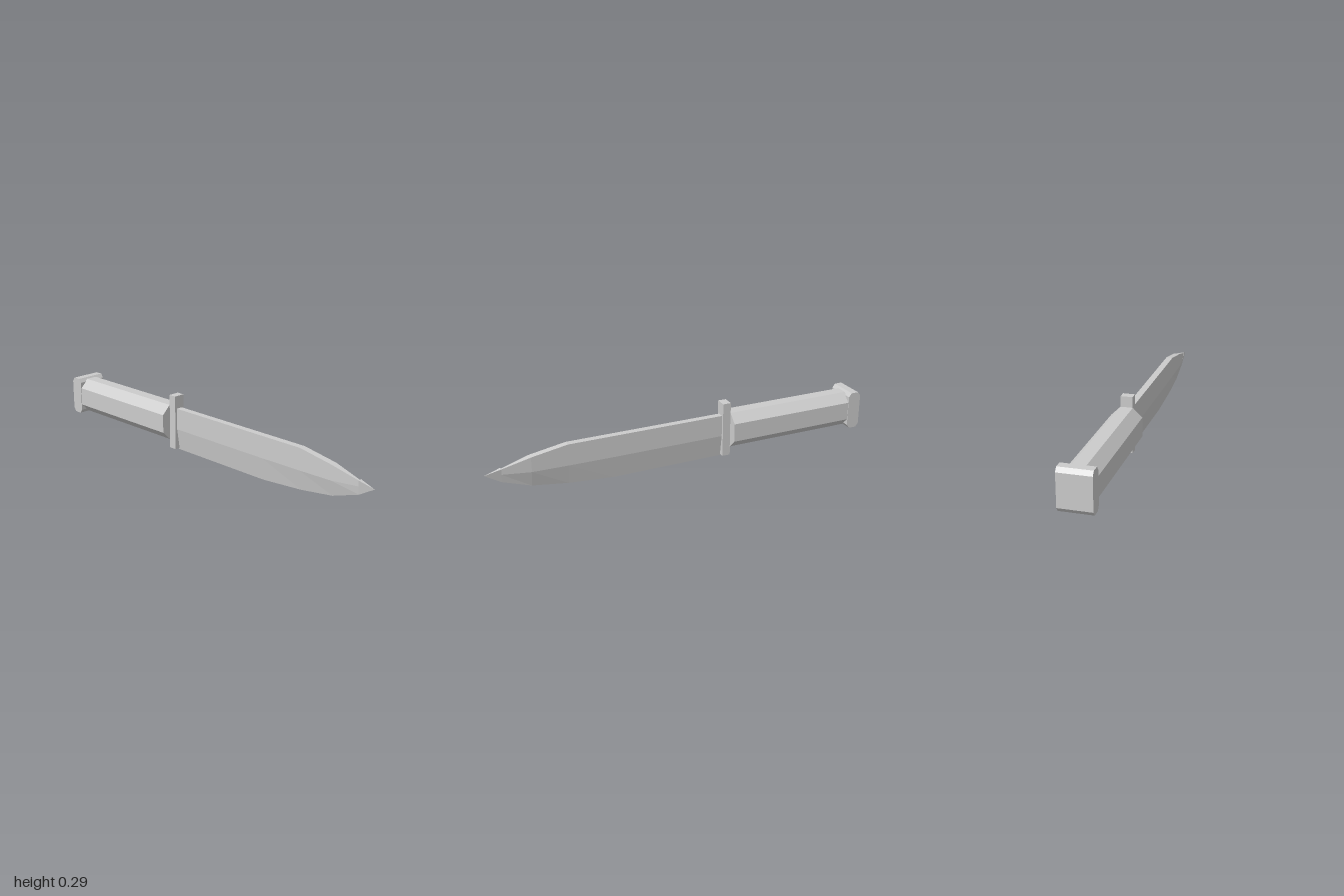
import * as THREE from 'three';

const steel = new THREE.MeshStandardMaterial({ color: 0xcccccc, flatShading: true });
steel.name = 'greySteel';

// Solid lofted through rings of points (counter-clockwise seen from +z, rings ordered towards +z)
function loft(name, rings) {
  const pos = [], n = rings[0].length;
  const tri = (a, b, c) => pos.push(...a, ...b, ...c);
  for (let r = 0; r < rings.length - 1; r++) {
    const a = rings[r], b = rings[r + 1];
    for (let i = 0; i < n; i++) {
      const j = (i + 1) % n;
      tri(a[i], a[j], b[j]);
      tri(a[i], b[j], b[i]);
    }
  }
  const first = rings[0], last = rings[rings.length - 1];
  for (let i = 1; i < n - 1; i++) {
    tri(first[0], first[i + 1], first[i]);
    tri(last[0], last[i], last[i + 1]);
  }
  const g = new THREE.BufferGeometry();
  g.setAttribute('position', new THREE.Float32BufferAttribute(pos, 3));
  g.computeVertexNormals();
  return named(name, g);
}

function named(name, geometry) {
  const mesh = new THREE.Mesh(geometry, steel);
  mesh.name = name;
  return mesh;
}

export function createModel() {
  const model = new THREE.Group();
  model.name = 'knife';

  // Blade: flat spine, straight sides, then a bevel down to the edge
  // Each station: z, spine y, bevel y, edge y, half width
  const stations = [
    [-0.215, 0.226, 0.115, 0.002, 0.017],
    [0.37, 0.226, 0.115, 0.0, 0.017],
    [0.6, 0.226, 0.117, 0.017, 0.017],
    [0.78, 0.195, 0.12, 0.042, 0.017],
    [0.92, 0.157, 0.13, 0.09, 0.005],
  ];
  model.add(loft('blade', stations.map(([z, top, mid, low, w]) => [
    [0, low, z], [w, mid, z], [w, top, z], [-w, top, z], [-w, mid, z],
  ])));

  // Point: slim three-sided pyramid
  model.add(loft('bladePoint', [
    [[0, 0.09, 0.92], [0.01, 0.16, 0.92], [-0.01, 0.16, 0.92]],
    [[0, 0.138, 1], [0, 0.138, 1], [0, 0.138, 1]],
  ]));

  // Cross guard
  const guard = named('guard', new THREE.BoxGeometry(0.058, 0.284, 0.042));
  guard.position.set(0, 0.151, -0.231);
  model.add(guard);

  // Eight-sided grip
  const octagon = [
    [-0.03, 0.055], [0.03, 0.055], [0.076, 0.1], [0.076, 0.195],
    [0.03, 0.24], [-0.03, 0.24], [-0.076, 0.195], [-0.076, 0.1],
  ];
  model.add(loft('grip', [-0.935, -0.251].map((z) => octagon.map(([x, y]) => [x, y, z]))));

  // Pommel: block with chamfered upper and lower edges, extruded across x
  const profile = new THREE.Shape([
    [0.945, 0.049], [0.985, 0.049], [1, 0.069], [1, 0.227],
    [0.985, 0.247], [0.945, 0.247], [0.93, 0.227], [0.93, 0.069],
  ].map(([z, y]) => new THREE.Vector2(z, y)));
  const pommelGeometry = new THREE.ExtrudeGeometry(profile, { depth: 0.158, bevelEnabled: false });
  pommelGeometry.translate(0, 0, -0.079).rotateY(Math.PI / 2);
  model.add(named('pommel', pommelGeometry));

  return model;
}
